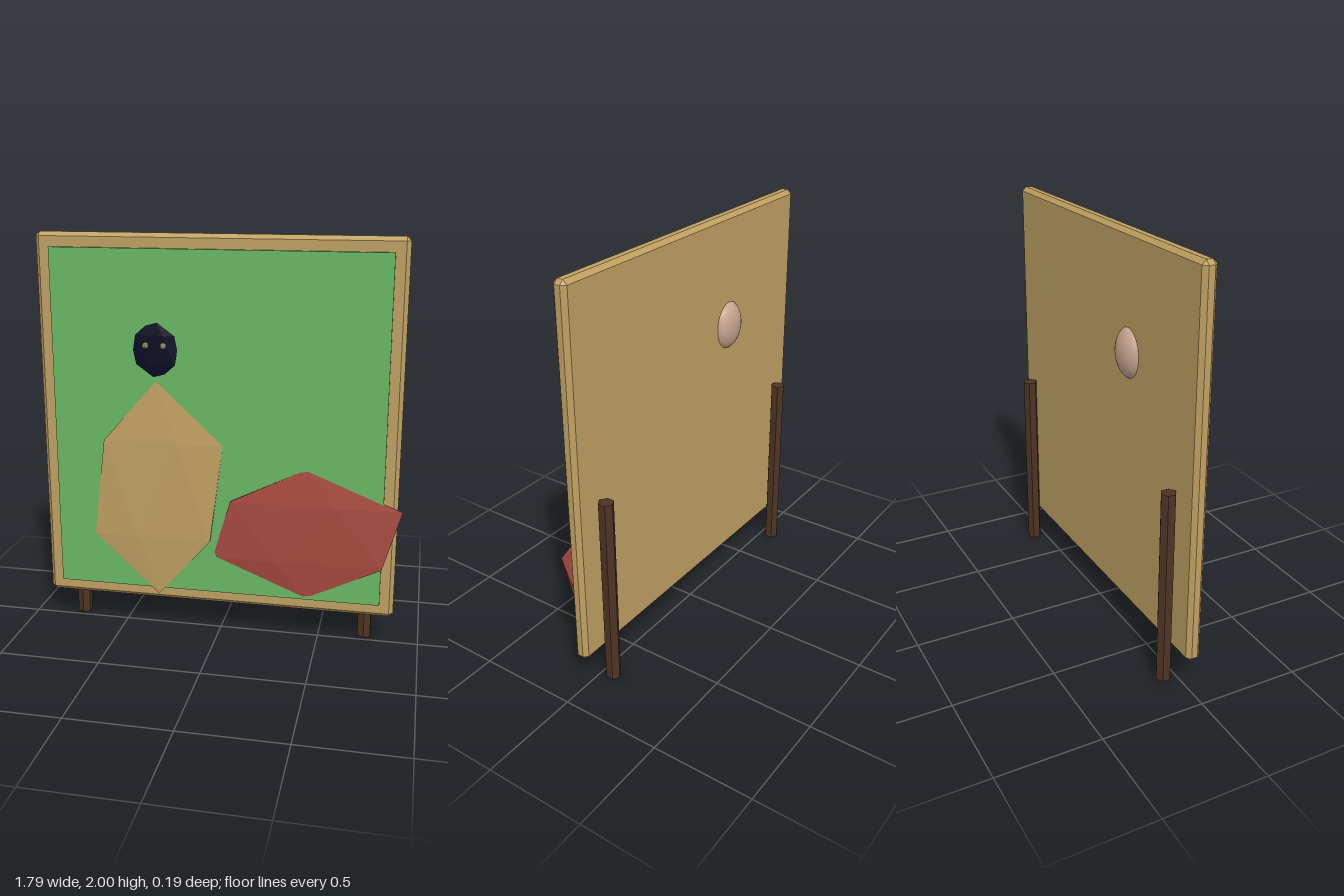
import * as THREE from 'three';
import { ConvexGeometry } from 'three/addons/geometries/ConvexGeometry.js';

const paint = (name, color, flatShading = true) => {
  const m = new THREE.MeshStandardMaterial({ color, flatShading });
  m.name = name;
  return m;
};

// Box with all edges and corners cut at 45 degrees
function chamferedBox(w, h, d, c) {
  const points = [];
  for (const sx of [-1, 1]) for (const sy of [-1, 1]) for (const sz of [-1, 1]) {
    const x = w / 2, y = h / 2, z = d / 2;
    points.push(
      new THREE.Vector3(sx * x, sy * (y - c), sz * (z - c)),
      new THREE.Vector3(sx * (x - c), sy * y, sz * (z - c)),
      new THREE.Vector3(sx * (x - c), sy * (y - c), sz * z));
  }
  return new ConvexGeometry(points);
}

// Twenty-sided solid standing on a vertex, one upper-ring vertex towards +x
function gem() {
  const points = [new THREE.Vector3(0, 1, 0), new THREE.Vector3(0, -1, 0)];
  for (let i = 0; i < 5; i++) {
    const a = i * Math.PI * 2 / 5, x = 0.8944 * Math.cos(a), z = 0.8944 * Math.sin(a);
    points.push(new THREE.Vector3(x, 0.4472, z), new THREE.Vector3(-x, -0.4472, -z));
  }
  return new ConvexGeometry(points);
}

export function createModel() {
  const model = new THREE.Group();
  const tan = paint('tan', 0xc0a062);
  const green = paint('green', 0x69b764);
  const red = paint('red', 0xa84a40);
  const navy = paint('navy', 0x0b0b24);
  const wood = paint('dark wood', 0x4d3424);
  const skin = paint('skin', 0xc8a590, false);
  const eyeColor = paint('eye brown', 0x94825f);

  const add = (name, geometry, material, position, scale = [1, 1, 1]) => {
    const mesh = new THREE.Mesh(geometry, material);
    mesh.name = name;
    mesh.position.set(...position);
    mesh.scale.set(...scale);
    model.add(mesh);
  };

  // Board and painted panel
  add('board', chamferedBox(1.77, 1.845, 0.07, 0.02), tan, [-0.013, 1.0775, 0.018]);
  add('panel', new THREE.BoxGeometry(1.63, 1.705, 0.04), green, [-0.01, 1.0775, 0.053]);

  // Posts behind the board
  const post = new THREE.CylinderGeometry(0.037, 0.037, 0.965, 6);
  for (const x of [-0.755, 0.73]) add('post', post, wood, [x, 0.4825, -0.058]);

  // Flattened figures on the panel
  const solid = gem();
  add('body', solid, tan, [-0.307, 0.745, 0.073], [0.369, 0.555, 0.021]);
  add('hood', solid, navy, [-0.307, 1.452, 0.07], [0.134, 0.158, 0.012]);
  add('redShape', solid, red, [0.435, 0.565, 0.072], [0.516, 0.335, 0.021]);
  for (const x of [-0.353, -0.265]) {
    add('eye', new THREE.IcosahedronGeometry(0.016, 1), eyeColor, [x, 1.474, 0.081]);
  }

  // Face showing through the back of the board
  add('face', new THREE.SphereGeometry(1, 24, 16), skin, [-0.307, 1.45, -0.002], [0.1, 0.122, 0.064]);

  return model;
}
